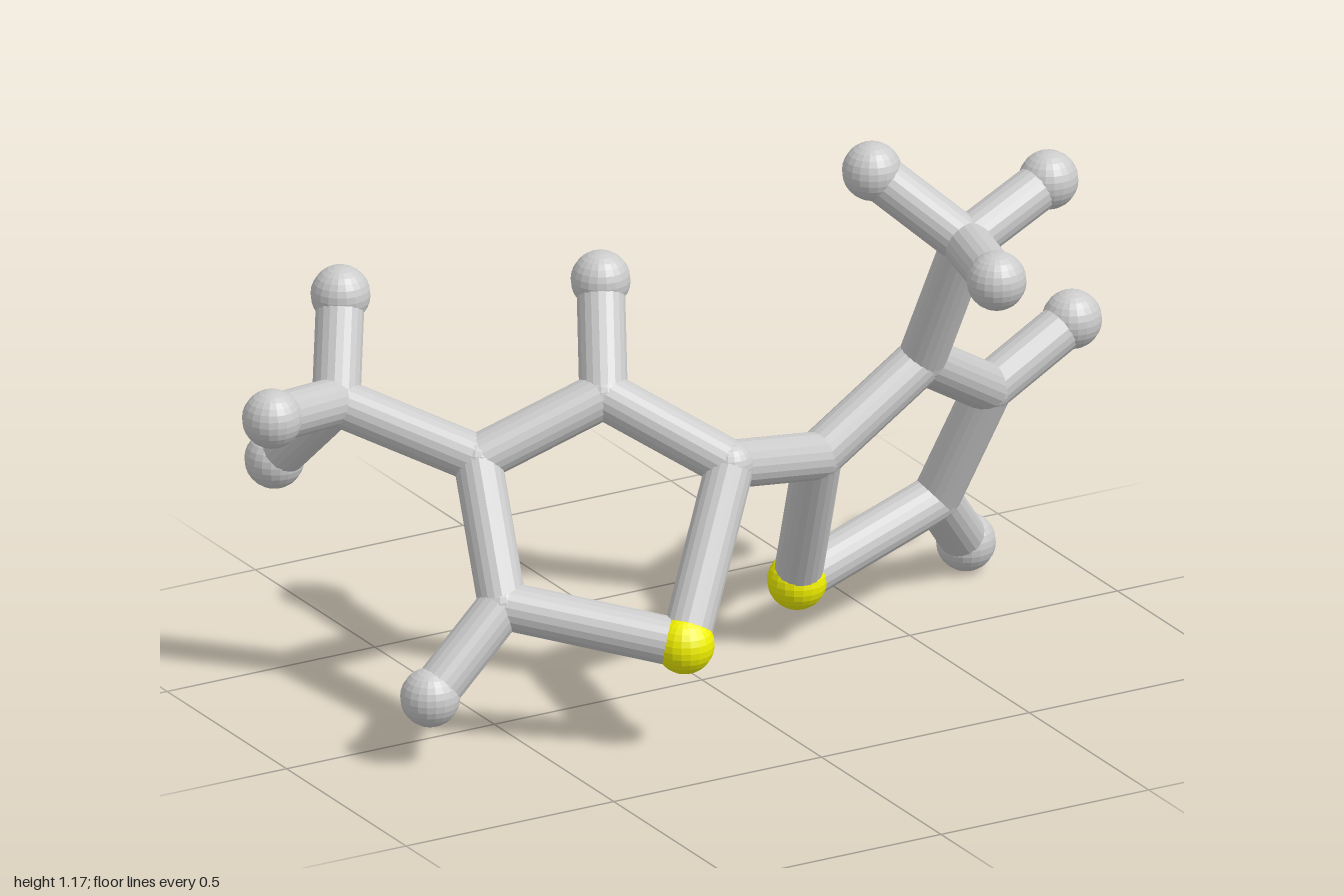
import * as THREE from 'three';

const BOND_RADIUS = 0.051;
const JOINT_RADIUS = 0.052;
const BALL_RADIUS = 0.063;
const SIDES = 20;

// Ring order: sulfur, linked carbon, then round the ring back to sulfur.
// Each branch grows from a ring joint; a branch may carry tips of its own.
const halves = [
  {
    name: 'rightRing',
    ring: [[-0.235, 0.248, 0.336], [-0.05, 0.57, 0.205], [-0.24, 0.695, 0.005], [-0.505, 0.58, -0.062], [-0.545, 0.32, 0.112]],
    hydrogens: [[2, [-0.175, 0.897, -0.12]], [4, [-0.727, 0.154, 0.126]]],
    methyl: {
      from: 3, center: [-0.727, 0.683, -0.267],
      tips: [[-0.655, 0.872, -0.374], [-0.942, 0.723, -0.162], [-0.778, 0.505, -0.437]],
    },
  },
  {
    name: 'leftRing',
    ring: [[0.275, 0.146, -0.08], [0.232, 0.49, 0.082], [0.487, 0.652, 0.072], [0.722, 0.497, -0.056], [0.658, 0.225, -0.165]],
    hydrogens: [[3, [0.935, 0.602, -0.077]], [4, [0.787, 0.067, -0.264]]],
    methyl: {
      from: 2, center: [0.52, 0.953, 0.2],
      tips: [[0.355, 1.11, 0.094], [0.735, 1.042, 0.172], [0.457, 0.962, 0.438]],
    },
  },
];

export function createModel() {
  const model = new THREE.Group();
  model.name = 'ballAndStickMolecule';

  const grey = new THREE.MeshStandardMaterial({ color: 0xcccccc, flatShading: true });
  const yellow = new THREE.MeshStandardMaterial({ color: 0xf2f200, flatShading: true });
  const ballGeometry = new THREE.SphereGeometry(BALL_RADIUS, SIDES, 14);
  const jointGeometry = new THREE.SphereGeometry(JOINT_RADIUS, SIDES, 14);
  const up = new THREE.Vector3(0, 1, 0);

  function addAtom(parent, name, point, geometry, material = grey) {
    const atom = new THREE.Mesh(geometry, material);
    atom.name = name;
    atom.position.set(...point);
    parent.add(atom);
  }

  // Cylinder running between two points
  function addBond(parent, name, a, b) {
    const start = new THREE.Vector3(...a);
    const span = new THREE.Vector3(...b).sub(start);
    const geometry = new THREE.CylinderGeometry(BOND_RADIUS, BOND_RADIUS, span.length(), SIDES);
    const bond = new THREE.Mesh(geometry, grey);
    bond.name = name;
    bond.position.copy(start).addScaledVector(span, 0.5);
    bond.quaternion.setFromUnitVectors(up, span.normalize());
    parent.add(bond);
  }

  for (const { name, ring, hydrogens, methyl } of halves) {
    const half = new THREE.Group();
    half.name = name;
    model.add(half);

    // Five-sided ring with one sulfur corner
    ring.forEach((point, i) => {
      if (i === 0) addAtom(half, 'sulfurAtom', point, ballGeometry, yellow);
      else addAtom(half, 'carbonAtom', point, jointGeometry);
      addBond(half, 'ringBond', point, ring[(i + 1) % ring.length]);
    });

    // Single hydrogens on the ring
    for (const [from, point] of hydrogens) {
      addBond(half, 'hydrogenBond', ring[from], point);
      addAtom(half, 'hydrogenAtom', point, ballGeometry);
    }

    // Methyl branch with three hydrogen tips
    const branch = new THREE.Group();
    branch.name = 'methylBranch';
    half.add(branch);
    addBond(branch, 'branchBond', ring[methyl.from], methyl.center);
    addAtom(branch, 'carbonAtom', methyl.center, jointGeometry);
    for (const tip of methyl.tips) {
      addBond(branch, 'hydrogenBond', methyl.center, tip);
      addAtom(branch, 'hydrogenAtom', tip, ballGeometry);
    }
  }

  // Bond joining the two rings
  addBond(model, 'linkBond', halves[0].ring[1], halves[1].ring[1]);

  return model;
}
